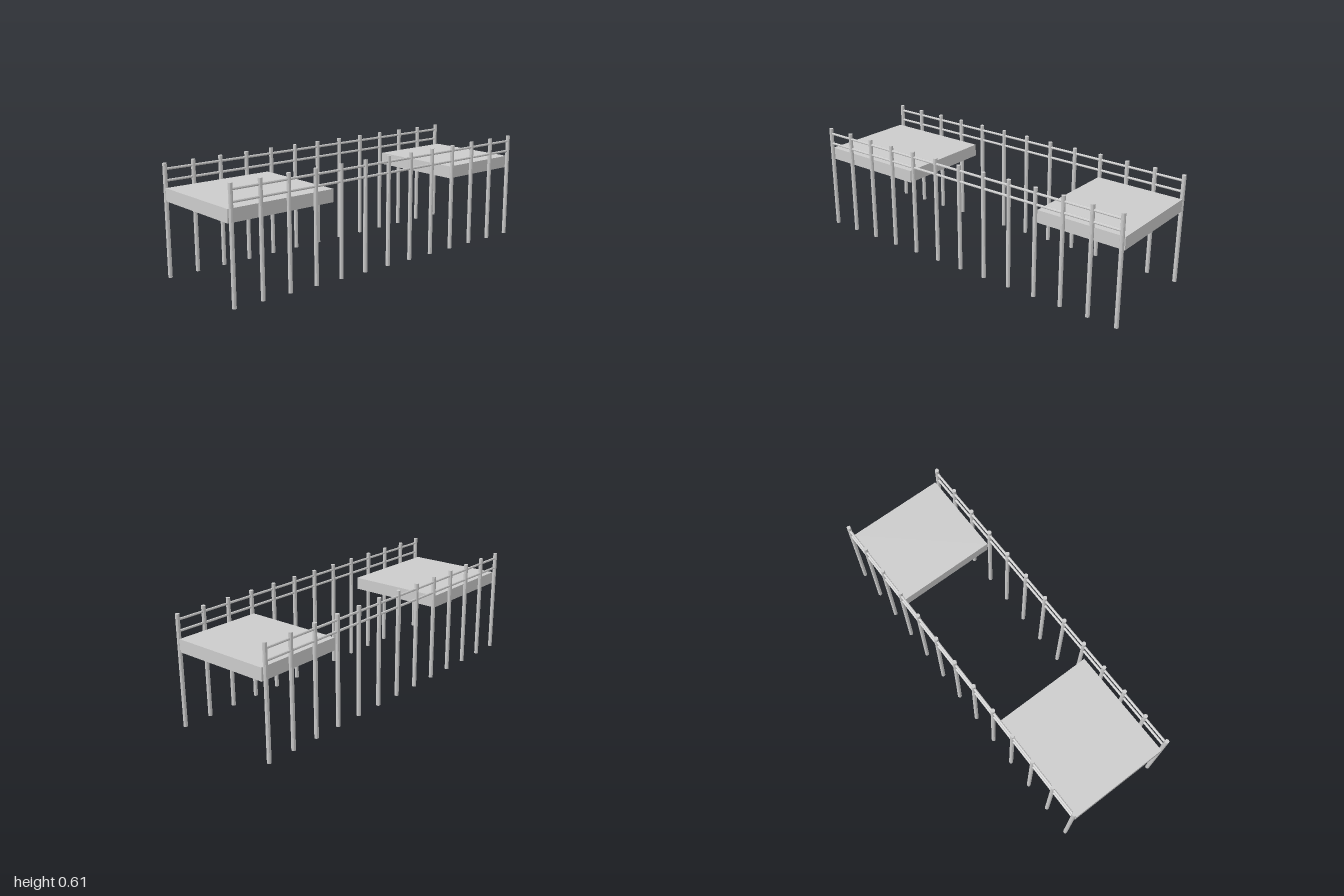
import * as THREE from 'three';

export function createModel() {
  const group = new THREE.Group();
  const mat = new THREE.MeshStandardMaterial({ color: 0xcccccc, flatShading: true });

  function add(name, geometry, x, y, z) {
    const mesh = new THREE.Mesh(geometry, mat);
    mesh.name = name;
    mesh.position.set(x, y, z);
    group.add(mesh);
  }

  // Two rows of posts, each carrying a pair of handrails
  const postCount = 13, endX = 0.988, postHeight = 0.606;
  const post = new THREE.CylinderGeometry(0.0115, 0.0115, postHeight, 10);
  const rail = new THREE.CylinderGeometry(0.007, 0.007, endX * 2, 8).rotateZ(Math.PI / 2);
  for (const [side, z] of [['front', 0.3], ['back', -0.3]]) {
    for (let i = 0; i < postCount; i++) {
      const x = -endX + (2 * endX * i) / (postCount - 1);
      add(side + 'Post', post, x, postHeight / 2, z);
    }
    add(side + 'UpperRail', rail, 0, 0.575, z);
    add(side + 'LowerRail', rail, 0, 0.515, z);
  }

  // Deck slabs at both ends, leaving the middle span open
  function deck(name, x0, x1) {
    add(name, new THREE.BoxGeometry(x1 - x0, 0.069, 0.568), (x0 + x1) / 2, 0.446, 0.001);
  }
  deck('rightDeck', -0.998, -0.368);
  deck('leftDeck', 0.496, 0.998);

  return group;
}
